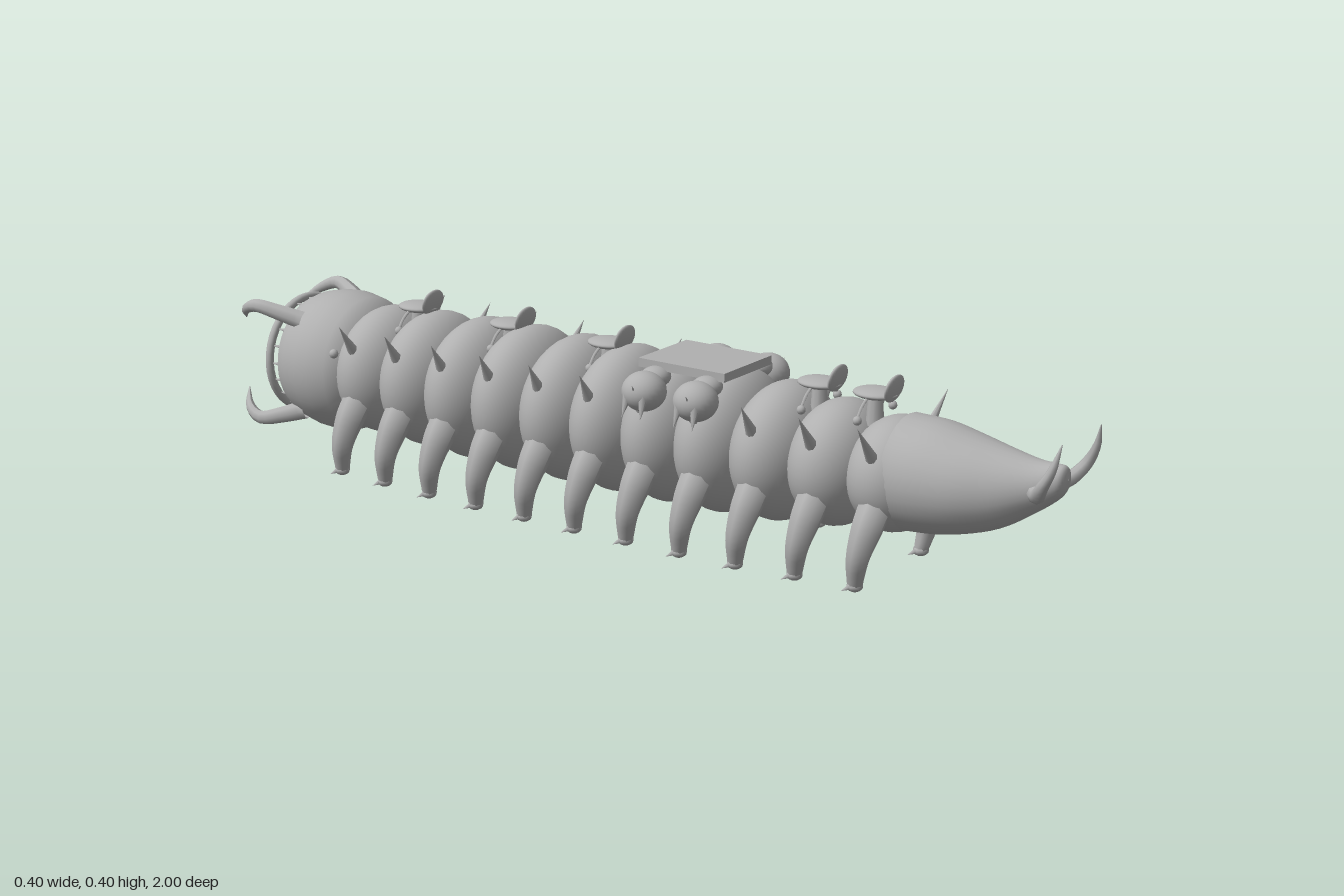
import * as THREE from 'three';

const skin = new THREE.MeshStandardMaterial({ color: 0xb0b0b0, side: THREE.DoubleSide });
skin.name = 'grey skin';
const CY = 0.208; // height of the body axis
const V = (x, y, z) => new THREE.Vector3(x, y, z);

function add(parent, name, geometry, x = 0, y = 0, z = 0) {
  const mesh = new THREE.Mesh(geometry, skin);
  mesh.name = name;
  mesh.position.set(x, y, z);
  parent.add(mesh);
  return mesh;
}

// Tube along a smooth path whose radius follows a list of values
function taper(points, radii, sides = 8, steps = 14) {
  const curve = new THREE.CatmullRomCurve3(points);
  const geo = new THREE.TubeGeometry(curve, steps, 1, sides);
  const pos = geo.attributes.position;
  const p = new THREE.Vector3();
  for (let i = 0; i <= steps; i++) {
    const f = (i / steps) * (radii.length - 1);
    const k = Math.min(Math.floor(f), radii.length - 2);
    const r = THREE.MathUtils.lerp(radii[k], radii[k + 1], f - k);
    const c = curve.getPointAt(i / steps);
    for (let j = 0; j <= sides; j++) {
      const n = i * (sides + 1) + j;
      p.fromBufferAttribute(pos, n).sub(c).multiplyScalar(r).add(c);
      pos.setXYZ(n, p.x, p.y, p.z);
    }
  }
  geo.computeVertexNormals();
  return geo;
}

// Straight cone from base to tip
function spike(parent, name, base, tip, radius, sides = 8) {
  const dir = tip.clone().sub(base);
  const geo = new THREE.ConeGeometry(radius, dir.length(), sides);
  const mesh = add(parent, name, geo);
  mesh.position.copy(base).add(tip).multiplyScalar(0.5);
  mesh.quaternion.setFromUnitVectors(V(0, 1, 0), dir.normalize());
}

function ellipsoid(rx, ry, rz, w = 24, h = 16) {
  return new THREE.SphereGeometry(1, w, h).scale(rx, ry, rz);
}

// One body ring with its pair of legs and back spikes
function bodySegment(z, r) {
  const g = new THREE.Group();
  g.name = 'bodySegment';
  add(g, 'bodyRing', new THREE.SphereGeometry(1, 36, 24).rotateX(Math.PI / 2).scale(r, r * 0.94, 0.092), 0, CY, z);
  for (const s of [-1, 1]) {
    const foot = r + 0.004;
    add(g, 'leg', taper([
      V(s * (r - 0.045), 0.17, z), V(s * (r - 0.01), 0.135, z + 0.002),
      V(s * (r + 0.012), 0.075, z - 0.006), V(s * foot, 0.014, z - 0.016),
    ], [0.034, 0.031, 0.023, 0.015]));
    add(g, 'foot', ellipsoid(0.017, 0.012, 0.016, 10, 8), s * foot, 0.013, z - 0.016);
    for (const k of [-1, 0, 1]) {
      spike(g, 'claw', V(s * foot + k * 0.01, 0.012, z - 0.022), V(s * foot + k * 0.016, 0.002, z - 0.038), 0.006, 6);
    }
    spike(g, 'backSpike', V(s * r * 0.83, CY + r * 0.44, z), V(s * (0.148 + r * 0.18), 0.338, z + 0.008), 0.0125);
  }
  return g;
}

// Tail lofted from a few cross-sections: half-width, half-height, centre height, z
function tail() {
  const rows = [
    [0.112, 0.114, 0.216, 0.64], [0.110, 0.110, 0.217, 0.71], [0.099, 0.096, 0.217, 0.78],
    [0.074, 0.077, 0.222, 0.85], [0.049, 0.053, 0.236, 0.91], [0.034, 0.038, 0.250, 0.95],
    [0.023, 0.026, 0.259, 0.97], [0.001, 0.001, 0.262, 0.977],
  ];
  const path = new THREE.CatmullRomCurve3(rows.map((a) => V(a[0], a[2], a[3])), false, 'catmullrom');
  const tall = new THREE.CatmullRomCurve3(rows.map((a) => V(a[1], 0, 0)), false, 'catmullrom');
  const geo = new THREE.CylinderGeometry(1, 1, 1, 28, 28, true).rotateX(Math.PI / 2);
  const pos = geo.attributes.position;
  for (let i = 0; i < pos.count; i++) {
    const t = THREE.MathUtils.clamp(pos.getZ(i) + 0.5, 0, 1);
    const c = path.getPoint(t);
    pos.setXYZ(i, pos.getX(i) * c.x, c.y + pos.getY(i) * tall.getPoint(t).x, c.z);
  }
  geo.computeVertexNormals();
  return geo;
}

// Hollow head with mouth ring, rows of teeth and four mandibles
function head() {
  const g = new THREE.Group();
  g.name = 'head';
  const profile = [
    [0.09, 0.67], [0.125, 0.69], [0.146, 0.72], [0.154, 0.765], [0.152, 0.80], [0.143, 0.84],
    [0.130, 0.866], [0.122, 0.870], [0.112, 0.862], [0.098, 0.82], [0.07, 0.76], [0, 0.72],
  ].map(([r, d]) => new THREE.Vector2(r, d));
  add(g, 'headShell', new THREE.LatheGeometry(profile, 40).rotateX(-Math.PI / 2), 0, CY, 0);
  add(g, 'mouthRing', new THREE.TorusGeometry(0.124, 0.009, 10, 40), 0, CY, -0.895);
  const at = (a, r, z) => V(Math.cos(a) * r, CY + Math.sin(a) * r, z);
  for (let i = 0; i < 20; i++) {
    const a = (i / 20) * Math.PI * 2;
    spike(g, 'ringPost', at(a, 0.122, -0.86), at(a, 0.122, -0.9), 0.005, 6);
  }
  for (const [r, z, n] of [[0.116, -0.868, 22], [0.102, -0.835, 18], [0.083, -0.79, 14]]) {
    for (let i = 0; i < n; i++) {
      const a = ((i + 0.5) / n) * Math.PI * 2;
      spike(g, 'tooth', at(a, r, z), at(a, r - 0.034, z - 0.014), 0.008, 6);
    }
  }
  for (const sx of [-1, 1]) {
    for (const sy of [-1, 1]) {
      add(g, 'mandible', taper([
        V(sx * 0.095, CY + sy * 0.1, -0.82), V(sx * 0.117, CY + sy * 0.116, -0.87),
        V(sx * 0.132, CY + sy * 0.127, -0.92), V(sx * 0.122, CY + sy * 0.112, -0.96),
        V(sx * 0.085, CY + sy * 0.08, -0.997),
      ], [0.021, 0.018, 0.015, 0.01, 0.001]));
    }
    add(g, 'eye', new THREE.SphereGeometry(0.01, 12, 8), sx * 0.128, 0.26, -0.702);
  }
  return g;
}

// Small seat with a round backrest and hanging stirrups
function saddle(z) {
  const g = new THREE.Group();
  g.name = 'saddle';
  add(g, 'seat', ellipsoid(0.038, 0.011, 0.046), 0, 0.358, z);
  const back = add(g, 'backrest', ellipsoid(0.034, 0.028, 0.008), 0, 0.373, z + 0.04);
  back.rotation.x = 0.2;
  add(g, 'seatPost', new THREE.CylinderGeometry(0.014, 0.018, 0.06, 10), 0, 0.325, z);
  for (const s of [-1, 1]) {
    add(g, 'strap', taper([V(s * 0.03, 0.355, z), V(s * 0.05, 0.342, z), V(s * 0.066, 0.322, z)],
      [0.003, 0.003, 0.003], 6, 6));
    add(g, 'stirrup', new THREE.SphereGeometry(0.009, 10, 8), s * 0.066, 0.318, z);
  }
  return g;
}

// Flat deck with round side bags and their hanging hooks
function platform() {
  const g = new THREE.Group();
  g.name = 'platform';
  add(g, 'deck', new THREE.BoxGeometry(0.168, 0.018, 0.205), 0, 0.357, 0.172);
  for (const s of [-1, 1]) {
    for (const z of [0.115, 0.238]) {
      add(g, 'sideBag', ellipsoid(0.045, 0.04, 0.045), s * 0.128, 0.315, z);
      add(g, 'bagNeck', ellipsoid(0.035, 0.022, 0.03), s * 0.09, 0.335, z);
      for (const k of [-1, 1]) {
        spike(g, 'hook', V(s * 0.156, 0.315, z + k * 0.018), V(s * 0.173, 0.268, z + k * 0.022), 0.012);
      }
    }
  }
  return g;
}

export function createModel() {
  const model = new THREE.Group();
  model.name = 'giantCrawler';
  const radii = [0.121, 0.134, 0.149, 0.157, 0.16, 0.162, 0.163, 0.163, 0.161, 0.155, 0.148];
  radii.forEach((r, i) => model.add(bodySegment(0.62 - i * 0.127, r)));
  add(model, 'tail', tail());
  for (const s of [-1, 1]) {
    add(model, 'tailHorn', taper([
      V(s * 0.025, 0.235, 0.92), V(s * 0.06, 0.24, 0.945), V(s * 0.088, 0.268, 0.968),
      V(s * 0.088, 0.305, 0.987), V(s * 0.078, 0.352, 0.999),
    ], [0.016, 0.015, 0.012, 0.008, 0.001]));
  }
  model.add(head(), platform());
  for (const z of [0.565, 0.44, -0.065, -0.32, -0.57]) model.add(saddle(z));
  return model;
}
